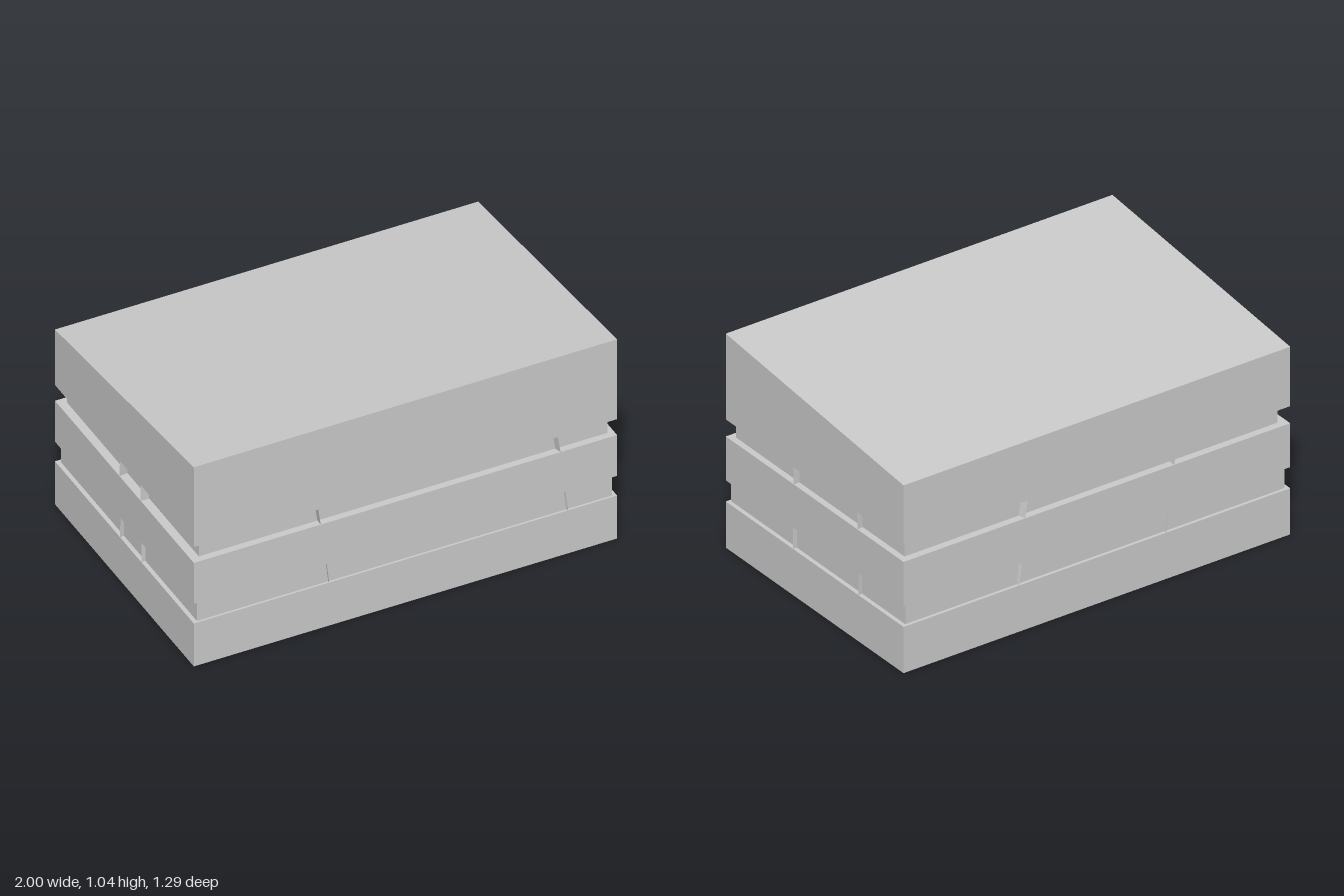
import * as THREE from 'three';

const W = 1, D = 0.645; // half width and half depth of the block

export function createModel() {
  const group = new THREE.Group();
  const solid = new THREE.MeshStandardMaterial({ color: 0xcccccc, flatShading: true });
  const thin = new THREE.MeshStandardMaterial({ color: 0xcccccc, flatShading: true, side: THREE.DoubleSide });

  const add = (name, geometry, material = solid) => {
    const mesh = new THREE.Mesh(geometry, material);
    mesh.name = name;
    group.add(mesh);
    return mesh;
  };

  // Box given by its limits on each axis
  const block = (name, x0, x1, y0, y1, z0, z1) =>
    add(name, new THREE.BoxGeometry(x1 - x0, y1 - y0, z1 - z0)
      .translate((x0 + x1) / 2, (y0 + y1) / 2, (z0 + z1) / 2));

  // Thin upright sheet between two ends [x, z]; its top is shifted by lean [x, z]
  const sheet = (name, [ax, az], [bx, bz], y0, y1, [lx, lz]) => {
    const geometry = new THREE.BufferGeometry();
    geometry.setAttribute('position', new THREE.Float32BufferAttribute([
      ax, y0, az, bx, y0, bz, bx + lx, y1, bz + lz, ax + lx, y1, az + lz], 3));
    geometry.setIndex([0, 1, 2, 0, 2, 3]);
    geometry.computeVertexNormals();
    add(name, geometry, thin);
  };

  // Solid storeys
  block('baseSlab', -W, W, 0, 0.225, -D, D);
  block('middleSlab', -W, W, 0.328, 0.542, -D, D);

  // Top storey with a roof falling towards the back
  const profile = new THREE.Shape([[-D, 0.625], [D, 0.625], [D, 0.915], [-D, 1.043]]
    .map(([x, y]) => new THREE.Vector2(x, y)));
  add('slopedTop', new THREE.ExtrudeGeometry(profile, { depth: 2 * W, bevelEnabled: false })
    .translate(0, 0, -W).rotateY(Math.PI / 2));

  // Recessed bands between the storeys
  block('lowerBand', -0.98, 0.98, 0.225, 0.328, -0.63, 0.635);
  block('upperBand', -0.96, 0.97, 0.542, 0.625, -0.61, 0.613);

  // Thin partitions running through each band out to the faces
  const levels = [
    { name: 'lower', y0: 0.225, y1: 0.328, straight: -0.36, front: 0.768, back: 0.4, z: 0.157, right: -0.319, left: -0.04 },
    { name: 'upper', y0: 0.542, y1: 0.625, straight: -0.4, front: 0.733, back: 0.37, z: 0.152, right: -0.311, left: -0.045 },
  ];
  for (const l of levels) {
    const leanX = [-0.012, 0], leanZ = [0, 0.003];
    sheet(l.name + 'CrossPartition', [l.straight, D], [l.straight, -D], l.y0, l.y1, leanX);
    sheet(l.name + 'ObliqueCrossPartition', [l.front, D], [l.back, -D], l.y0, l.y1, leanX);
    sheet(l.name + 'LongPartition', [W, l.z], [-W, l.z], l.y0, l.y1, [0, 0]);
    sheet(l.name + 'ObliqueLongPartition', [W, l.right], [-W, l.left], l.y0, l.y1, leanZ);
  }

  return group;
}
